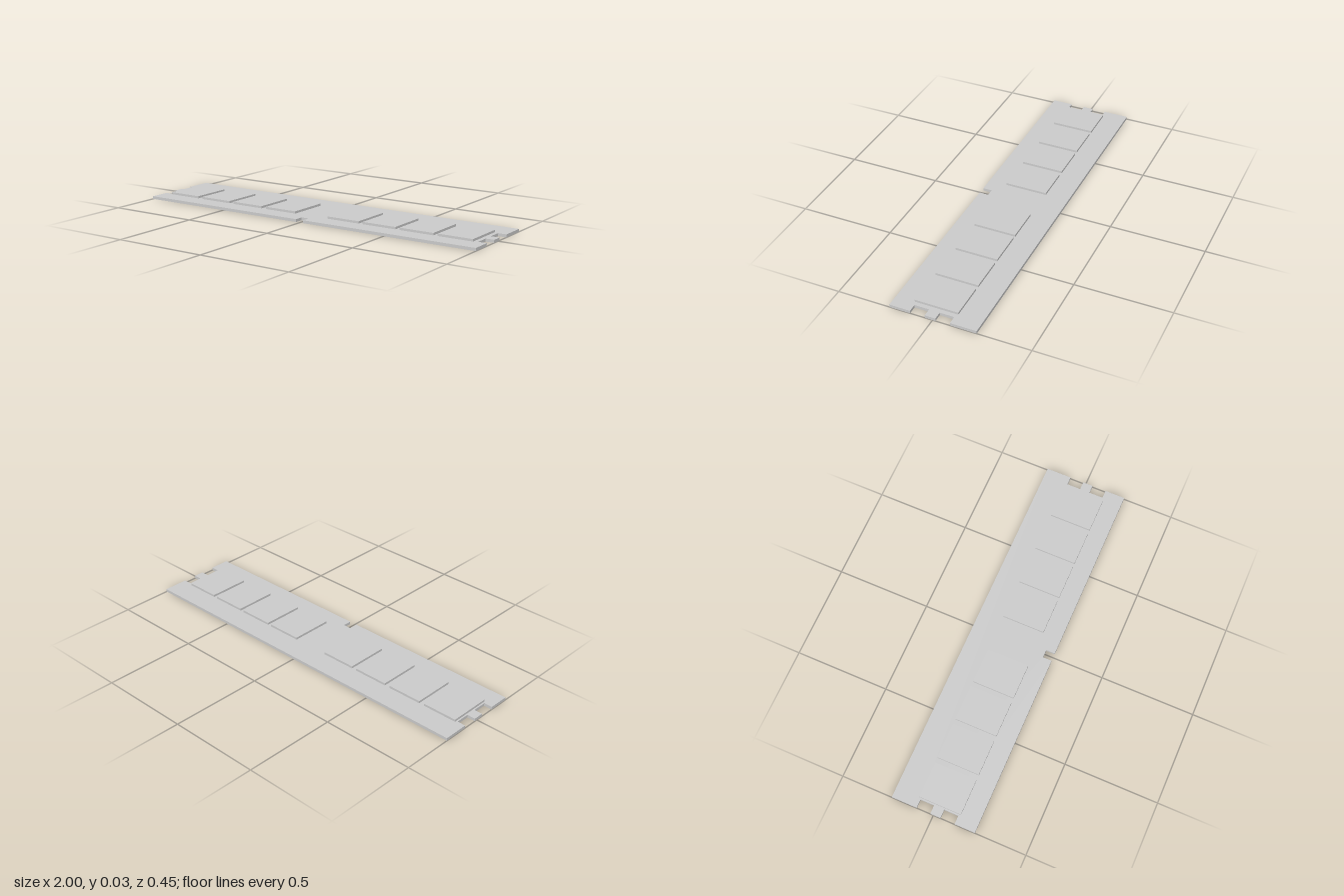
import * as THREE from 'three';

const BOARD_H = 0.015, CHIP_TOP = 0.027, HALF_Z = 0.226;

export function createModel() {
  const model = new THREE.Group();
  model.name = 'memoryModule';
  const material = new THREE.MeshStandardMaterial({ color: 0xcccccc });

  // Circuit board outline as [x, z]: side latch notches and a key slot in the front edge
  const side = [[1, HALF_Z], [1, 0.117], [0.955, 0.117], [0.955, 0.04], [1, 0.04],
    [1, -0.015], [0.955, -0.015], [0.955, -0.09], [1, -0.09], [1, -HALF_Z]];
  const mirrored = side.map(([x, z]) => [-x, z]).reverse();
  const keySlot = [[-0.023, HALF_Z], [-0.023, 0.178], [0.021, 0.178], [0.021, HALF_Z]];
  const outline = [...keySlot, ...side, ...mirrored].map(([x, z]) => new THREE.Vector2(x, -z));
  const boardGeometry = new THREE.ExtrudeGeometry(new THREE.Shape(outline), { depth: BOARD_H, bevelEnabled: false });
  boardGeometry.rotateX(-Math.PI / 2);
  const board = new THREE.Mesh(boardGeometry, material);
  board.name = 'circuitBoard';
  model.add(board);

  // Two banks of four flat chips
  const chipW = 0.19, chipD = 0.227;
  const chipGeometry = new THREE.BoxGeometry(chipW, CHIP_TOP - BOARD_H, chipD);
  const banks = [{ name: 'right', start: -0.947, step: 0.219 }, { name: 'left', start: 0.102, step: 0.2137 }];
  for (const { name, start, step } of banks) {
    for (let i = 0; i < 4; i++) {
      const chip = new THREE.Mesh(chipGeometry, material);
      chip.name = `${name}Chip${i + 1}`;
      chip.position.set(start + i * step + chipW / 2, (BOARD_H + CHIP_TOP) / 2, 0.0135);
      model.add(chip);
    }
  }
  return model;
}
